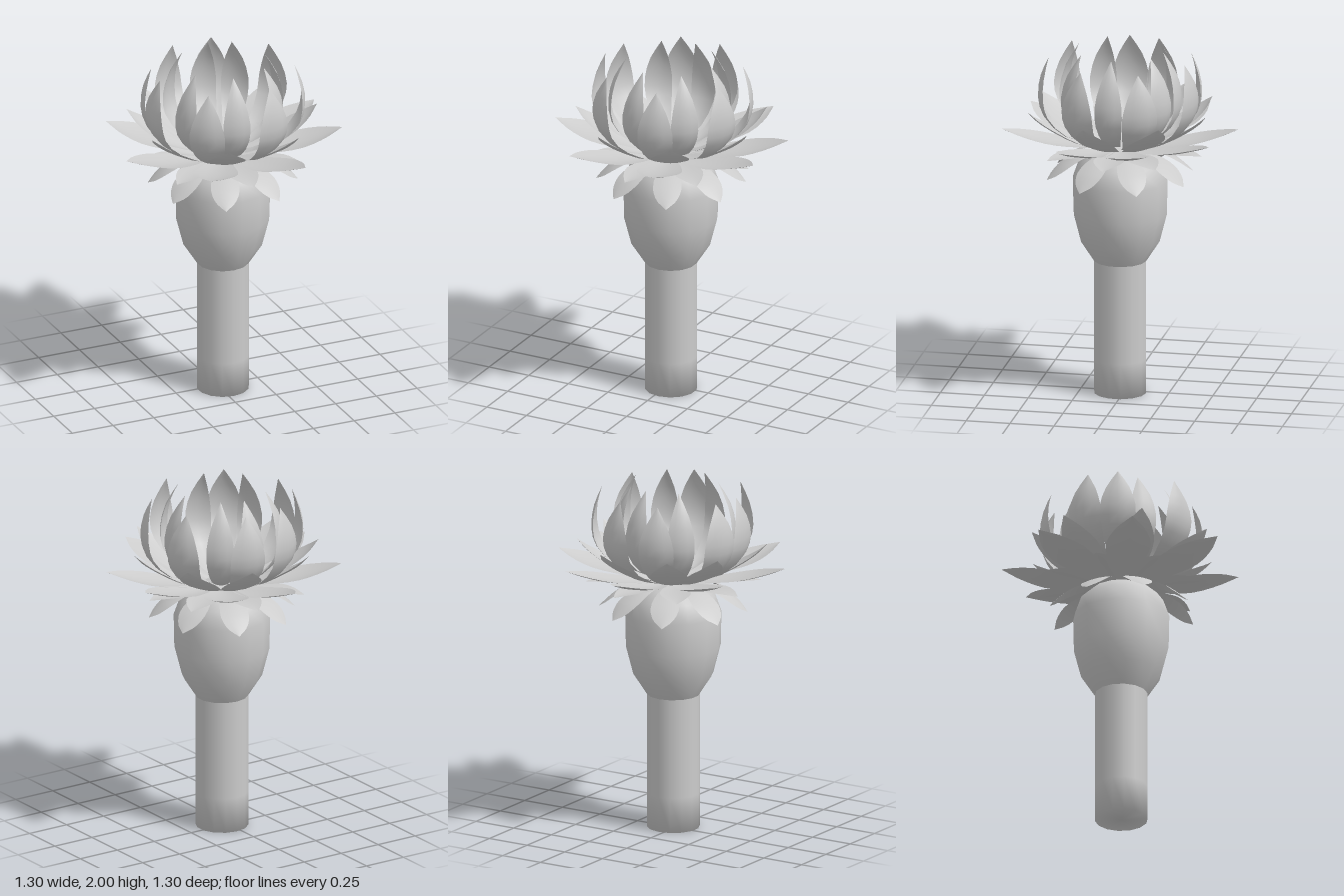
import * as THREE from 'three';

const material = new THREE.MeshStandardMaterial({ color: 0xcccccc });
const petalMaterial = new THREE.MeshStandardMaterial({ color: 0xcccccc, side: THREE.DoubleSide });

// Petal along +x. Each profile point is [radius, height, half width]; cup lifts the edges.
function petalGeometry(profile, cup) {
  const rows = 10, cols = 4;
  const curve = new THREE.CatmullRomCurve3(profile.map((p) => new THREE.Vector3(...p)));
  const positions = [], index = [];
  for (let i = 0; i <= rows; i++) {
    const p = curve.getPoint(i / rows);
    const t = curve.getTangent(i / rows);
    const len = Math.hypot(t.x, t.y) || 1;
    const half = Math.max(p.z, 0);
    for (let j = 0; j <= cols; j++) {
      const s = (j / cols) * 2 - 1;
      const lift = cup * half * s * s;
      positions.push(p.x - (t.y / len) * lift, p.y + (t.x / len) * lift, s * half);
      if (i < rows && j < cols) {
        const a = i * (cols + 1) + j, b = a + cols + 1;
        index.push(a, a + 1, b, a + 1, b + 1, b);
      }
    }
  }
  const geometry = new THREE.BufferGeometry();
  geometry.setAttribute('position', new THREE.Float32BufferAttribute(positions, 3));
  geometry.setIndex(index);
  geometry.computeVertexNormals();
  return geometry;
}

// Ring of equal petals at the given angles, in degrees from +x towards +z
function petalRing(name, angles, profile, cup) {
  const ring = new THREE.Group();
  ring.name = name;
  const geometry = petalGeometry(profile, cup);
  for (const angle of angles) {
    const petal = new THREE.Mesh(geometry, petalMaterial);
    petal.name = 'petal';
    petal.rotation.y = -THREE.MathUtils.degToRad(angle);
    ring.add(petal);
  }
  return ring;
}

function lathe(name, profile) {
  const points = profile.map(([r, y]) => new THREE.Vector2(r, y));
  const mesh = new THREE.Mesh(new THREE.LatheGeometry(points, 14), material);
  mesh.name = name;
  return mesh;
}

export function createModel() {
  const flower = new THREE.Group();
  flower.name = 'flower';

  // Stalk and swollen flower base
  flower.add(lathe('stem', [[0, 0], [0.148, 0], [0.148, 0.2], [0.148, 0.8]]));
  flower.add(lathe('bulb', [[0.148, 0.77], [0.225, 0.89], [0.266, 1.05], [0.27, 1.24],
    [0.235, 1.34], [0.17, 1.4], [0.09, 1.44], [0, 1.45]]));

  // Drooping sepals
  flower.add(petalRing('sepals', [21, 66, 112, 156, 201, 246, 291, 336],
    [[0.1, 1.42, 0.025], [0.22, 1.4, 0.065], [0.32, 1.35, 0.08], [0.38, 1.3, 0.055], [0.42, 1.26, 0]], -0.1));

  // Spreading outer petals, from flat to rising
  flower.add(petalRing('flatPetals', [0, 45, 94, 146, 190, 235, 280, 325],
    [[0.08, 1.42, 0.03], [0.22, 1.425, 0.075], [0.33, 1.43, 0.085], [0.42, 1.43, 0.05], [0.49, 1.425, 0]], 0.1));
  flower.add(petalRing('longPetals', [19, 71, 120, 168, 217, 267, 301, 344],
    [[0.08, 1.43, 0.03], [0.28, 1.45, 0.1], [0.44, 1.48, 0.125], [0.57, 1.52, 0.08], [0.67, 1.56, 0]], 0.15));
  flower.add(petalRing('risingPetals', [11, 63, 111, 161, 210, 241, 286, 325],
    [[0.08, 1.42, 0.03], [0.25, 1.47, 0.09], [0.38, 1.54, 0.105], [0.48, 1.61, 0.065], [0.54, 1.675, 0]], 0.15));

  // Upright cupped petals around the open centre
  flower.add(petalRing('outerUprightPetals', [22, 74, 126, 176, 201, 250, 285, 334],
    [[0.09, 1.44, 0.025], [0.31, 1.5, 0.065], [0.43, 1.62, 0.095], [0.46, 1.73, 0.1],
      [0.445, 1.85, 0.065], [0.4, 1.96, 0]], 0.2));
  flower.add(petalRing('innerUprightPetals', [0, 49, 101, 152, 230, 275, 306],
    [[0.085, 1.45, 0.02], [0.24, 1.51, 0.05], [0.335, 1.63, 0.074], [0.35, 1.75, 0.077],
      [0.32, 1.88, 0.05], [0.25, 2, 0]], 0.2));

  // The stem stands slightly off the middle of the petal spread
  flower.position.set(0.027, 0, 0.022);
  const model = new THREE.Group();
  model.add(flower);
  return model;
}
